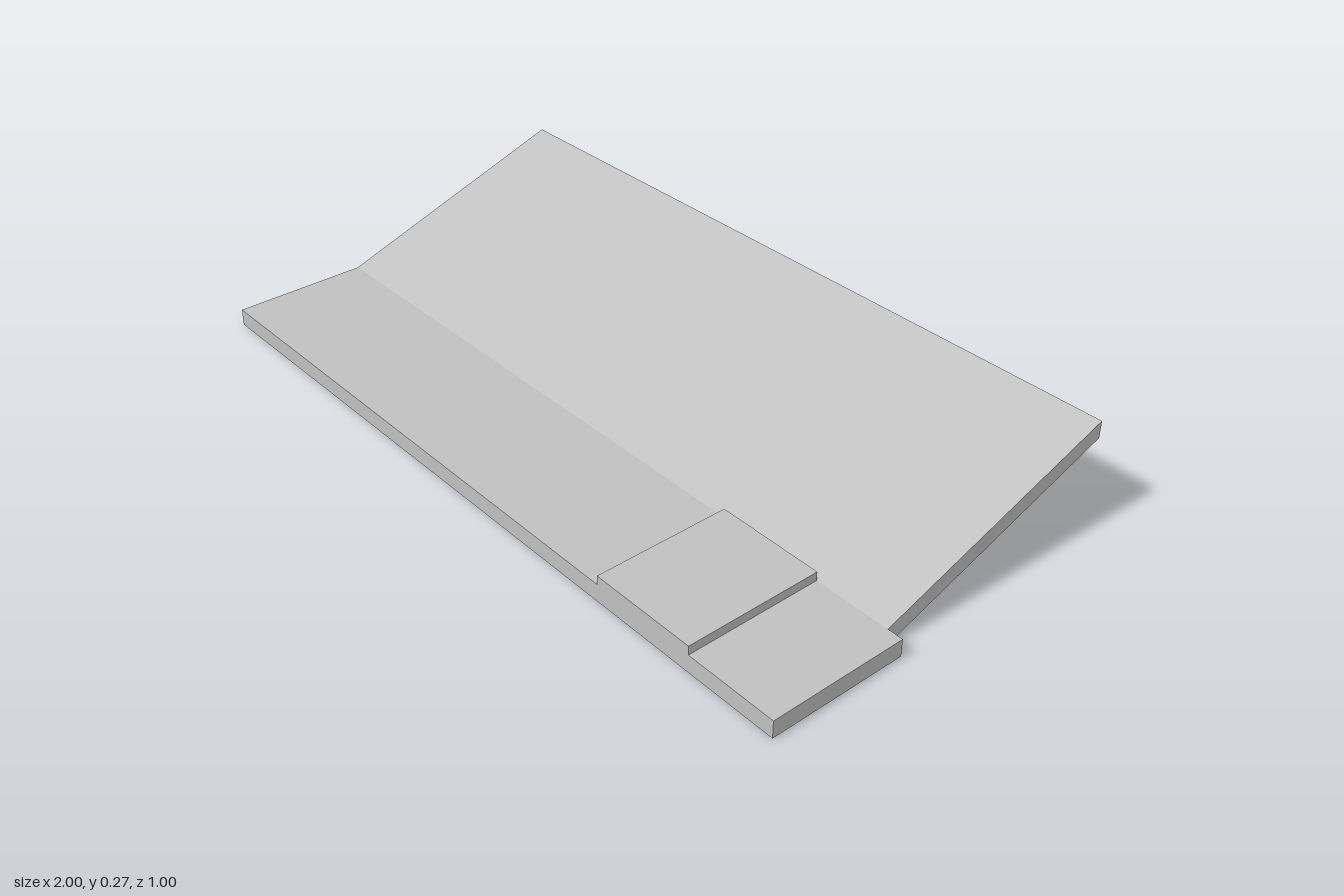
import * as THREE from 'three';

// Extrude a [z, y] profile along x from x0 to x1.
function slab(name, profile, x0, x1, material) {
  const shape = new THREE.Shape(profile.map(([z, y]) => new THREE.Vector2(-z, y)));
  const geometry = new THREE.ExtrudeGeometry(shape, { depth: x1 - x0, bevelEnabled: false });
  geometry.rotateY(Math.PI / 2);
  geometry.translate(x0, 0, 0);
  const mesh = new THREE.Mesh(geometry, material);
  mesh.name = name;
  return mesh;
}

export function createModel() {
  const group = new THREE.Group();
  group.name = 'rampPlatform';

  const grey = new THREE.MeshStandardMaterial({ color: 0xc0c0c0 });
  grey.name = 'light grey';

  const front = 0.5, fold = 0.143, back = -0.5;
  const thickness = 0.045;

  // Flat front strip
  group.add(slab('base', [[front, 0], [fold, 0], [fold, thickness], [front, thickness]], -1, 1, grey));

  // Sloping rear panel, a little shorter at its left end
  group.add(slab('ramp', [[fold, 0], [back, 0.224], [back, 0.268], [fold, thickness]], -1, 0.96, grey));

  // Low raised pad on the front strip
  group.add(slab('raisedPad',
    [[front, thickness], [fold, thickness], [fold, 0.068], [front, 0.068]], 0.476, 0.76, grey));

  return group;
}
